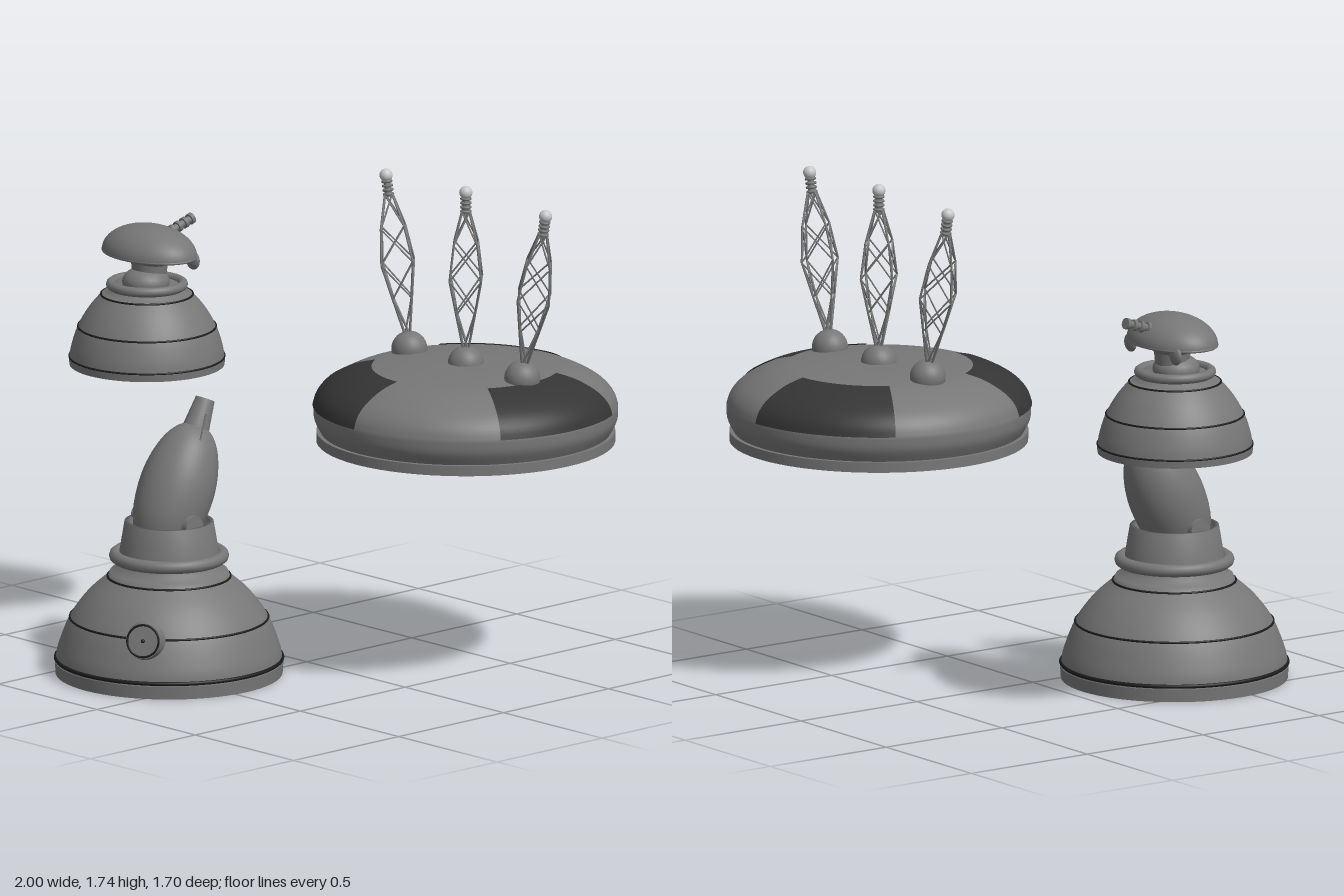
import * as THREE from 'three';

const mat = (name, color, side = THREE.FrontSide) => {
  const m = new THREE.MeshStandardMaterial({ color, side });
  m.name = name;
  return m;
};
const grey = mat('body grey', 0x777777, THREE.DoubleSide);
const dark = mat('panel charcoal', 0x353535, THREE.DoubleSide);
const black = mat('seam black', 0x1c1c1c);
const pale = mat('tip pale grey', 0xc8c8c8);

function add(parent, name, geometry, material, x = 0, y = 0, z = 0) {
  const mesh = new THREE.Mesh(geometry, material);
  mesh.name = name;
  mesh.position.set(x, y, z);
  parent.add(mesh);
  return mesh;
}
function group(parent, name, x = 0, y = 0, z = 0) {
  const g = new THREE.Group();
  g.name = name;
  g.position.set(x, y, z);
  parent.add(g);
  return g;
}
// Profile points are [radius, height], from bottom to top
const lathe = (pts, start = 0, sweep = Math.PI * 2, segments = 64) =>
  new THREE.LatheGeometry(pts.map(([r, y]) => new THREE.Vector2(r, y)), segments, start, sweep);
const smooth = (pts, n = 24) =>
  new THREE.SplineCurve(pts.map(([r, y]) => new THREE.Vector2(r, y))).getPoints(n).map(p => [Math.max(p.x, 0), p.y]);
const ball = (r) => new THREE.SphereGeometry(r, 24, 16);
const tube = (rTop, rBottom, h, n = 32) => new THREE.CylinderGeometry(rTop, rBottom, h, n);

// Horizontal ring around the vertical axis
function ring(parent, name, radius, thickness, y, material) {
  const mesh = add(parent, name, new THREE.TorusGeometry(radius, thickness, 10, 64), material, 0, y, 0);
  mesh.rotation.x = Math.PI / 2;
  return mesh;
}
// Thin rod between two points
function rod(parent, name, a, b, r, material) {
  const d = b.clone().sub(a);
  const mesh = add(parent, name, tube(r, r, d.length(), 6), material);
  mesh.position.copy(a).addScaledVector(d, 0.5);
  mesh.quaternion.setFromUnitVectors(new THREE.Vector3(0, 1, 0), d.normalize());
  return mesh;
}

// Lattice mast: four bowed strands with crossed bracing, a coil and a ball tip
function buildMast(parent, x, lean) {
  const mast = group(parent, 'latticeMast', x, 0.275, 0);
  add(mast, 'mastFoot', ball(0.063), grey);
  const cage = group(mast, 'mastCage');
  cage.rotation.z = lean;
  const levels = [[0.012, 0.05], [0.046, 0.18], [0.078, 0.305], [0.058, 0.43], [0.018, 0.545]];
  const at = (i, k) => new THREE.Vector3(
    Math.cos(k * Math.PI / 2) * levels[i][0], levels[i][1], Math.sin(k * Math.PI / 2) * levels[i][0]);
  for (let k = 0; k < 4; k++) {
    for (let i = 0; i < levels.length - 1; i++) {
      rod(cage, 'strand', at(i, k), at(i + 1, k), 0.004, grey);
      rod(cage, 'brace', at(i, k), at(i + 1, k + 1), 0.003, grey);
      rod(cage, 'brace', at(i, k + 1), at(i + 1, k), 0.003, grey);
    }
  }
  add(cage, 'mastNeck', tube(0.01, 0.014, 0.07, 12), grey, 0, 0.57, 0);
  for (let i = 0; i < 4; i++) ring(cage, 'mastCoil', 0.015, 0.005, 0.545 + i * 0.015, grey);
  add(cage, 'mastTip', ball(0.023), pale, 0, 0.612, 0);
}

// Broad dish station carrying three masts
function buildDish(parent) {
  const dish = group(parent, 'dishStation', 0.467, 0.825, -0.32);
  add(dish, 'dishBase', tube(0.52, 0.52, 0.036, 64), grey, 0, 0.018, 0);
  const side = smooth([[0.505, 0.036], [0.527, 0.08], [0.53, 0.125]], 8);
  const crown = smooth([[0.53, 0.125], [0.515, 0.165], [0.475, 0.205], [0.4, 0.243], [0.325, 0.262]], 16);
  const cap = smooth([[0.325, 0.262], [0.18, 0.275], [0, 0.279]], 8);
  add(dish, 'dishBody', lathe([...side, ...crown.slice(1), ...cap.slice(1)], 0, Math.PI * 2, 96), grey);
  // Three dark panels, each a sixth of the way round
  const skin = crown.map(([r, y]) => [r + 0.003, y + 0.003]);
  for (const deg of [60, 180, 300]) {
    add(dish, 'darkPanel', lathe(skin, deg * Math.PI / 180, Math.PI / 3, 16), dark);
  }
  buildMast(dish, -0.287, 0.195);
  buildMast(dish, 0, 0);
  buildMast(dish, 0.287, -0.195);
}

// Large domed turret with a tilted egg-shaped cannon
function buildCannon(parent) {
  const t = group(parent, 'cannonTurret', -0.22, 0, 0.45);
  add(t, 'turretBase', tube(0.398, 0.395, 0.045, 64), grey, 0, 0.0225, 0);
  add(t, 'turretDome', lathe([...smooth([[0.395, 0.045], [0.385, 0.1], [0.345, 0.2], [0.283, 0.285], [0.212, 0.348]]),
    [0.205, 0.365], [0.165, 0.378], [0.155, 0.41]]), grey);
  for (const [r, y, w] of [[0.394, 0.055, 0.007], [0.345, 0.2, 0.004], [0.214, 0.346, 0.004]]) {
    ring(t, 'turretSeam', r, w, y, black);
  }
  ring(t, 'collarRing', 0.187, 0.022, 0.42, grey);
  add(t, 'collar', lathe([[0.175, 0.42], [0.172, 0.44], [0.155, 0.543], [0.138, 0.543], [0.138, 0.47], [0, 0.46]]), grey);
  for (const s of [-1, 1]) {
    const hinge = add(t, 'hinge', tube(0.04, 0.04, 0.025), grey, s * 0.128, 0.545, 0.01);
    hinge.rotation.z = Math.PI / 2;
  }

  const gun = group(t, 'cannon', 0, 0.65, -0.035);
  gun.rotation.x = -0.43;
  add(gun, 'cannonBody', lathe(smooth([[0, -0.24], [0.075, -0.21], [0.118, -0.13], [0.133, -0.02],
    [0.125, 0.08], [0.095, 0.17], [0.05, 0.225], [0, 0.235]], 32), 0, Math.PI * 2, 48), grey);
  add(gun, 'muzzle', lathe([[0.05, 0.2], [0.034, 0.33], [0.022, 0.33], [0.022, 0.28], [0, 0.28]], 0, Math.PI * 2, 32), grey);
  rod(gun, 'aerial', new THREE.Vector3(0.077, 0.12, 0.03), new THREE.Vector3(0.077, 0.275, 0.05), 0.003, grey);

  // Round hatch facing front left
  const hatch = group(t, 'hatch', 0.2, 0.2, 0.305);
  hatch.rotation.set(-0.2, 0.58, 0, 'YXZ');
  const disc = add(hatch, 'hatchDisc', tube(0.062, 0.07, 0.045), grey);
  disc.rotation.x = Math.PI / 2;
  add(hatch, 'hatchSeam', new THREE.TorusGeometry(0.056, 0.004, 8, 40), black, 0, 0, 0.022);
  add(hatch, 'hatchKnob', ball(0.007), black, 0, 0, 0.023);
}

// Small domed turret with a cap-shaped head
function buildSentry(parent) {
  const s = group(parent, 'sentryTurret', -0.727, 0.95, 0.08);
  add(s, 'sentryBase', tube(0.272, 0.27, 0.025, 64), grey, 0, 0.0125, 0);
  add(s, 'sentryDome', lathe([...smooth([[0.27, 0.025], [0.262, 0.07], [0.24, 0.135], [0.202, 0.2], [0.158, 0.252]]),
    [0.125, 0.258], [0.115, 0.285], [0, 0.285]]), grey);
  for (const [r, y] of [[0.27, 0.028], [0.24, 0.135], [0.16, 0.25]]) ring(s, 'sentrySeam', r, 0.0035, y, black);
  ring(s, 'sentryRing', 0.126, 0.017, 0.285, grey);
  const shoulder = add(s, 'shoulder', ball(0.083), grey, 0, 0.295, 0.005);
  shoulder.scale.y = 0.65;
  add(s, 'neck', tube(0.068, 0.058, 0.09), grey, 0, 0.35, -0.012);
  add(s, 'chin', ball(0.085), grey, 0, 0.385, -0.015).scale.set(1, 0.5, 0.9);

  const cap = add(s, 'headCap', new THREE.SphereGeometry(1, 48, 16, 0, Math.PI * 2, 0, Math.PI / 2), grey, 0, 0.395, -0.012);
  cap.scale.set(0.193, 0.1, 0.138);
  const under = add(s, 'headUnderside', new THREE.CircleGeometry(1, 48), grey, 0, 0.395, -0.012);
  under.rotation.x = Math.PI / 2;
  under.scale.set(0.193, 0.138, 1);
  const rim = ring(s, 'headRim', 1, 0.025, 0.395, grey);
  rim.position.z = -0.012;
  rim.scale.set(0.19, 0.135, 0.19);
  for (const side of [-1, 1]) {
    add(s, 'ear', ball(0.032), grey, side * 0.132, 0.378, -0.095).scale.set(1, 1.05, 0.45);
    rod(s, 'earArm', new THREE.Vector3(side * 0.05, 0.38, -0.02), new THREE.Vector3(side * 0.13, 0.378, -0.09), 0.012, grey);
  }

  // Ribbed barrel pointing to the back
  const barrel = group(s, 'ribbedBarrel', 0, 0.448, -0.09);
  barrel.rotation.x = -1.28;
  add(barrel, 'barrelPipe', tube(0.013, 0.013, 0.13, 16), grey, 0, 0.065, 0);
  for (let i = 0; i < 4; i++) {
    add(barrel, 'barrelRib', tube(0.02, 0.02, 0.014, 16), grey, 0, 0.03 + i * 0.031, 0);
  }
}

export function createModel() {
  const model = new THREE.Group();
  model.name = 'defenceStations';
  buildDish(model);
  buildCannon(model);
  buildSentry(model);
  return model;
}
